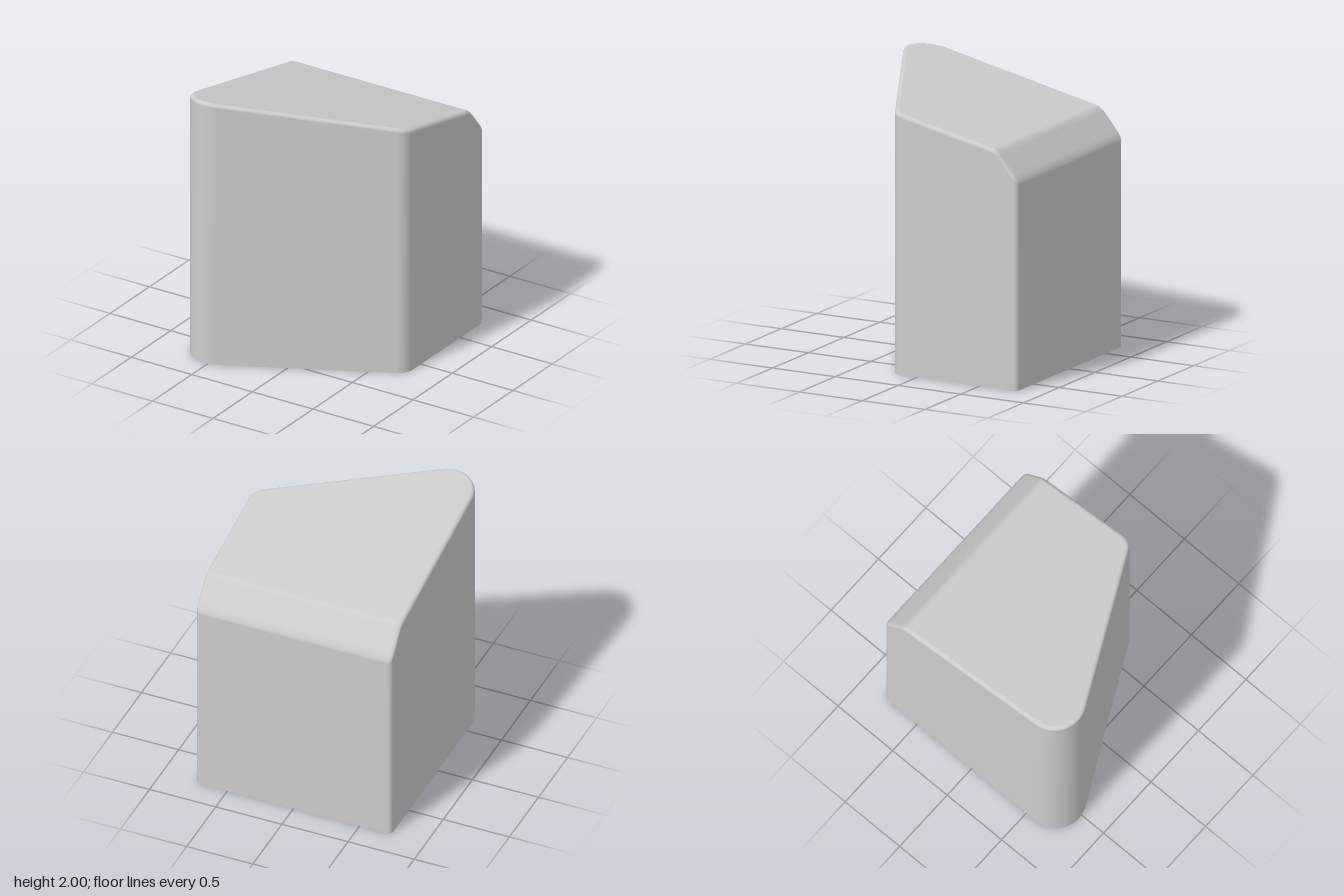
import * as THREE from 'three';

const FILLET = 0.03;   // rounding of the top edge
const ARC = 14;        // segments per rounded corner
const BEND = -0.63;    // z of the ridge between main slope and rear chamfer
const rad = THREE.MathUtils.degToRad;

// Height of the top: gentle main slope, steep rear chamfer, softly blended.
function topHeight(z) {
  const blend = 0.03, main = 0.217, steep = 1.2;
  const ridge = 2 + main * (BEND - 0.8 + FILLET);
  const t = z - BEND;
  if (t >= blend) return ridge + main * t;
  if (t <= -blend) return ridge + steep * t;
  return ridge + main * t - (steep - main) * (blend - t) ** 2 / (4 * blend);
}

// One side of the plan from rear to front, offset inwards by d.
function chain(corners, d) {
  const pts = [];
  const arc = ([x, z, r, from, to]) => {
    for (let i = 0; i <= ARC; i++) {
      const a = rad(from + (to - from) * i / ARC);
      pts.push([x + (r - d) * Math.cos(a), z + (r - d) * Math.sin(a)]);
    }
  };
  arc(corners[0]);
  const x = pts[ARC][0];
  for (let i = -3; i <= 3; i++) pts.push([x, BEND + i * 0.01]);
  arc(corners[1]);
  return pts;
}

// Corners: centre x, centre z, radius, start and end angle
const LEFT = [[-0.705, -0.765, 0.035, 270, 180], [-0.53, 0.59, 0.21, 180, 63]];
const RIGHT = [[0.705, -0.765, 0.035, -90, 0], [0.62, 0.103, 0.12, 0, 63]];

function makeGeometry(positions, index) {
  const g = new THREE.BufferGeometry();
  g.setAttribute('position', new THREE.Float32BufferAttribute(positions, 3));
  g.setIndex(index);
  g.computeVertexNormals();
  return g;
}

// Open-bottomed wall with a rounded upper edge
function wallGeometry() {
  const positions = [], index = [], steps = 6;
  let n = 0;
  for (let k = -1; k <= steps; k++) {
    const a = Math.max(k, 0) / steps * Math.PI / 2;
    const d = FILLET * (1 - Math.cos(a)), drop = FILLET * (1 - Math.sin(a));
    const ring = [...chain(LEFT, d), ...chain(RIGHT, d).reverse()];
    n = ring.length;
    for (const [x, z] of ring) positions.push(x, k < 0 ? 0 : topHeight(z) - drop, z);
  }
  for (let k = 0; k <= steps; k++) {
    for (let i = 0; i < n; i++) {
      const a = k * n + i, b = k * n + (i + 1) % n;
      index.push(a, b, b + n, a, b + n, a + n);
    }
  }
  return makeGeometry(positions, index);
}

// Top surface: strips spanning from the one side to the other
function topGeometry() {
  const positions = [], index = [];
  const left = chain(LEFT, FILLET), right = chain(RIGHT, FILLET);
  left.forEach(([x, z], i) => {
    const [rx, rz] = right[i];
    positions.push(x, topHeight(z), z, rx, topHeight(rz), rz);
    if (i > 0) {
      const a = 2 * (i - 1);
      index.push(a, a + 2, a + 3, a, a + 3, a + 1);
    }
  });
  return makeGeometry(positions, index);
}

export function createModel() {
  const group = new THREE.Group();
  group.name = 'slopedCover';
  const material = new THREE.MeshStandardMaterial({ color: 0xcccccc, side: THREE.DoubleSide });
  const add = (name, geometry) => {
    const mesh = new THREE.Mesh(geometry, material);
    mesh.name = name;
    group.add(mesh);
  };
  add('sideWalls', wallGeometry());
  add('slopedTop', topGeometry());
  return group;
}
